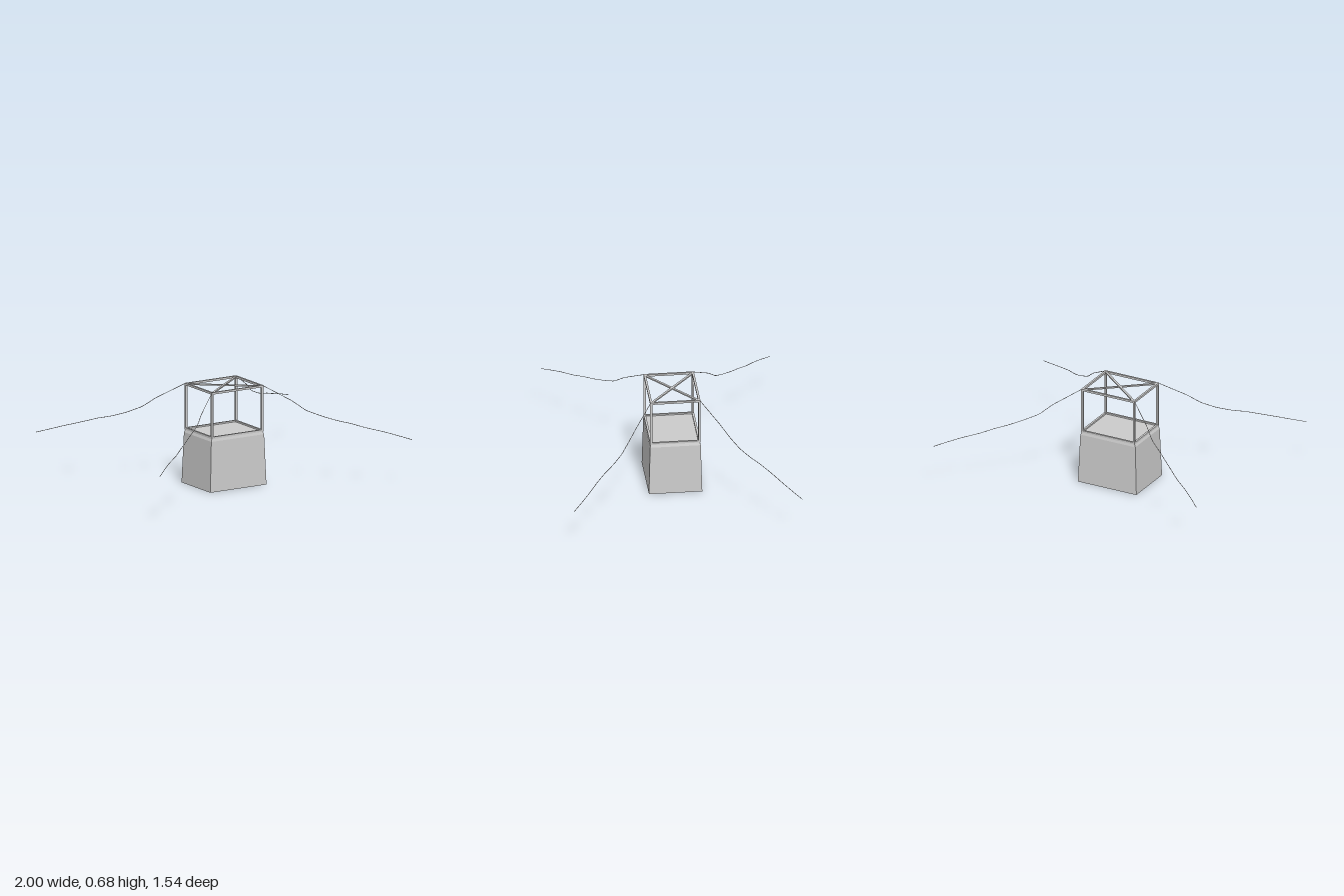
import * as THREE from 'three';

const grey = new THREE.MeshStandardMaterial({ color: 0xcccccc, flatShading: true });

// Half sizes of the post rectangle, bar thickness and bar heights
const PX = 0.197, PZ = 0.162, T = 0.014, RIM_Y = 0.37, TOP_Y = 0.675;

function add(group, geometry, name) {
  const mesh = new THREE.Mesh(geometry, grey);
  mesh.name = name;
  group.add(mesh);
  return mesh;
}

// Square bar between two points
function bar(group, name, a, b, width = T, height = T) {
  const from = new THREE.Vector3(...a), to = new THREE.Vector3(...b);
  const mesh = add(group, new THREE.BoxGeometry(width, height, from.distanceTo(to)), name);
  mesh.position.copy(from).add(to).multiplyScalar(0.5);
  mesh.lookAt(to);
}

// Tapered block with a steeper shoulder: each ring is [y, half width, half depth]
function taperedBlock(rings) {
  const geo = new THREE.BoxGeometry(2, rings.length - 1, 2, 1, rings.length - 1, 1);
  const p = geo.attributes.position;
  for (let i = 0; i < p.count; i++) {
    const [y, hx, hz] = rings[Math.round(p.getY(i) + (rings.length - 1) / 2)];
    p.setXYZ(i, p.getX(i) * hx, y, p.getZ(i) * hz);
  }
  const flat = geo.toNonIndexed();
  flat.computeVertexNormals();
  return flat;
}

export function createModel() {
  const model = new THREE.Group();
  model.name = 'canopyBasket';

  // Solid basket
  add(model, taperedBlock([
    [0, 0.222, 0.179],
    [0.345, 0.209, 0.17],
    [0.367, 0.2, 0.164],
  ]), 'basket');

  // Rim and roof frames
  for (const [y, name] of [[RIM_Y, 'rimBar'], [TOP_Y, 'roofBar']]) {
    for (const s of [-1, 1]) {
      bar(model, name, [-PX - T / 2, y, s * PZ], [PX + T / 2, y, s * PZ]);
      bar(model, name, [s * PX, y, -PZ - T / 2], [s * PX, y, PZ + T / 2]);
    }
  }

  // Crossed roof braces
  for (const s of [-1, 1]) {
    bar(model, 'roofBrace', [-PX, TOP_Y, -s * PZ], [PX, TOP_Y, s * PZ], 0.015, 0.009);
  }

  // Corner posts and slack ropes
  const ropePoints = [
    [0.2, 0.68, 0.165], [0.36, 0.577, 0.283], [0.43, 0.515, 0.34],
    [0.52, 0.475, 0.397], [0.6, 0.447, 0.46], [0.67, 0.43, 0.519],
    [0.75, 0.403, 0.583], [0.85, 0.376, 0.65], [0.93, 0.35, 0.71], [1, 0.326, 0.767],
  ];
  for (const sx of [-1, 1]) {
    for (const sz of [-1, 1]) {
      const post = add(model, new THREE.BoxGeometry(T, TOP_Y - RIM_Y, T), 'post');
      post.position.set(sx * PX, (TOP_Y + RIM_Y) / 2, sz * PZ);

      const path = new THREE.CurvePath();
      const pts = ropePoints.map(([x, y, z]) => new THREE.Vector3(sx * x, y, sz * z));
      for (let i = 1; i < pts.length; i++) path.add(new THREE.LineCurve3(pts[i - 1], pts[i]));
      add(model, new THREE.TubeGeometry(path, 40, 0.002, 6), 'rope');
    }
  }
  return model;
}
